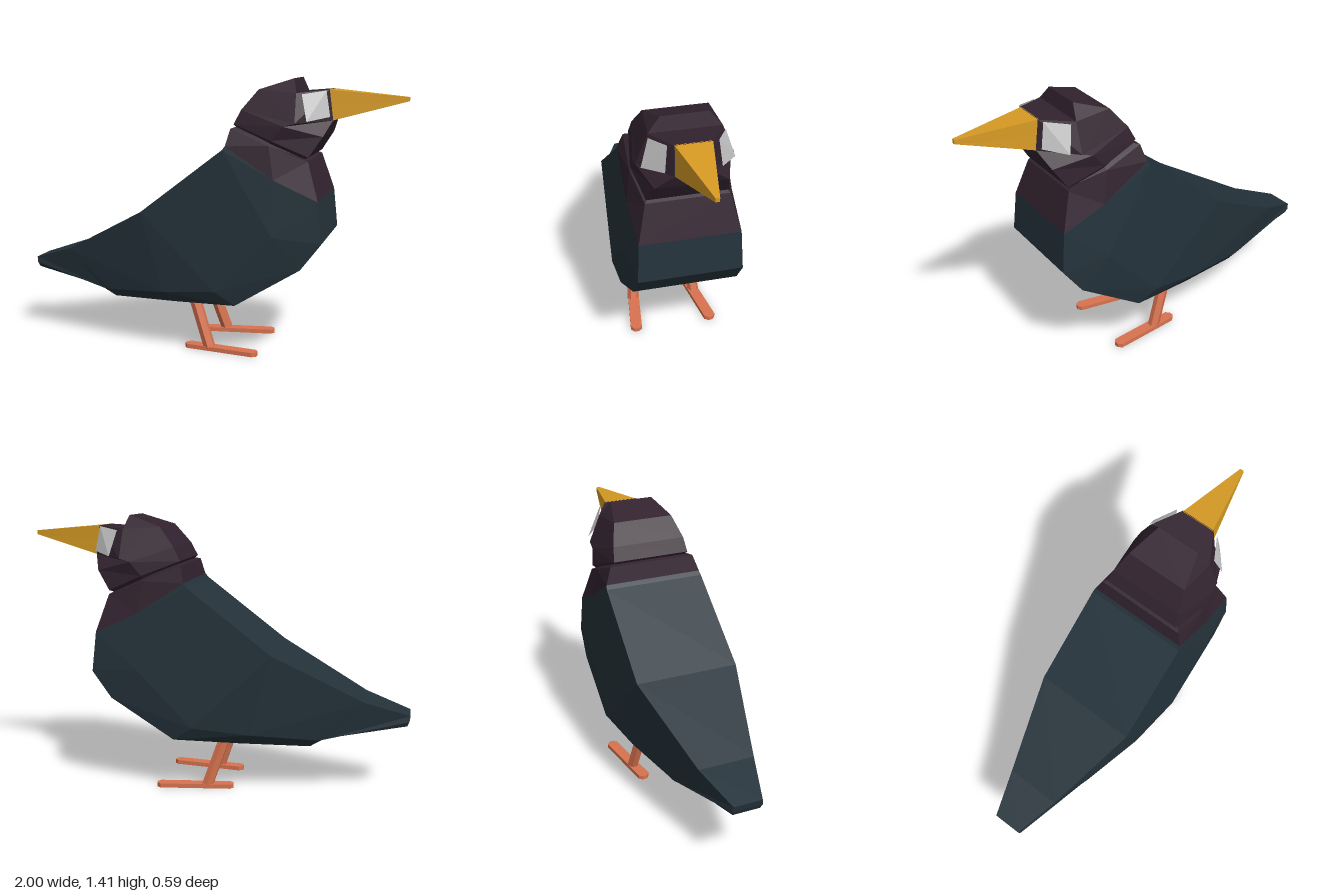
import * as THREE from 'three';

const mat = (name, color) => {
  const m = new THREE.MeshStandardMaterial({ color, flatShading: true });
  m.name = name;
  return m;
};

// Skin mirrored six-sided sections. Each section is [upper, side, lower],
// each point [x, y, halfWidth]; the ends are closed on request.
function loft(name, sections, material, capStart = true, capEnd = true) {
  const rings = sections.map((s) => {
    const half = s.map(([x, y, z]) => new THREE.Vector3(x, y, z));
    const mirrored = half.map((p) => new THREE.Vector3(p.x, p.y, -p.z)).reverse();
    return [...half, ...mirrored];
  });
  const pos = [];
  const tri = (a, b, c) => {
    const area = b.clone().sub(a).cross(c.clone().sub(a)).length();
    if (area > 1e-7) for (const p of [a, b, c]) pos.push(p.x, p.y, p.z);
  };
  for (let s = 0; s < rings.length - 1; s++) {
    const r = rings[s], q = rings[s + 1];
    for (let i = 0; i < 6; i++) {
      const j = (i + 1) % 6;
      if (i < 3) { // mirror the diagonal on the far side
        tri(r[i], r[j], q[j]);
        tri(r[i], q[j], q[i]);
      } else {
        tri(r[i], r[j], q[i]);
        tri(r[j], q[j], q[i]);
      }
    }
  }
  const cap = (r, flip) => {
    for (const [a, b, c] of [[0, 1, 4], [0, 4, 5], [1, 2, 3], [1, 3, 4]]) {
      if (flip) tri(r[a], r[c], r[b]);
      else tri(r[a], r[b], r[c]);
    }
  };
  if (capStart) cap(rings[0], true);
  if (capEnd) cap(rings[rings.length - 1], false);
  const geo = new THREE.BufferGeometry();
  geo.setAttribute('position', new THREE.Float32BufferAttribute(pos, 3));
  geo.computeVertexNormals();
  const mesh = new THREE.Mesh(geo, material);
  mesh.name = name;
  return mesh;
}

export function createModel() {
  const slate = mat('slatePlumage', 0x24323a);
  const plum = mat('plumPlumage', 0x32232f);
  const gold = mat('goldBeak', 0xd69a24);
  const coral = mat('coralLegs', 0xd8734f);
  const grey = mat('greyEye', 0xc4c4c4);
  grey.side = THREE.DoubleSide;

  const bird = new THREE.Group();
  bird.name = 'bird';

  // Body from tail tip to breast, then turning up towards the neck
  const seam = [[0.135, 1.08, 0.26], [0.38, 0.92, 0.262], [0.6, 0.82, 0.25]];
  bird.add(loft('body', [
    [[-1, 0.41, 0.075], [-0.995, 0.38, 0.08], [-0.985, 0.355, 0.07]],
    [[-0.77, 0.485, 0.145], [-0.56, 0.285, 0.165], [-0.54, 0.28, 0.14]],
    [[-0.77, 0.485, 0.145], [-0.53, 0.285, 0.175], [-0.5, 0.245, 0.15]],
    [[-0.31, 0.73, 0.27], [-0.2, 0.315, 0.26], [-0.15, 0.26, 0.22]],
    [[0.12, 1.06, 0.265], [0.09, 0.345, 0.295], [0.19, 0.275, 0.27]],
    [[0.12, 1.06, 0.265], [0.38, 0.64, 0.29], [0.52, 0.48, 0.265]],
    [[0.12, 1.06, 0.265], [0.38, 0.64, 0.29], [0.62, 0.615, 0.26]],
    seam,
  ], slate, true, false));

  // Neck with an inset rim under the head
  bird.add(loft('neck', [
    seam,
    [[0.155, 1.165, 0.23], [0.35, 1.085, 0.24], [0.54, 1.01, 0.205]],
    [[0.18, 1.17, 0.21], [0.35, 1.1, 0.22], [0.515, 1.025, 0.185]],
  ], plum, false, true));

  // Head, from its base up to the crown
  bird.add(loft('head', [
    [[0.18, 1.165, 0.19], [0.355, 1.09, 0.22], [0.515, 1.02, 0.185]],
    [[0.165, 1.185, 0.205], [0.36, 1.11, 0.237], [0.54, 1.03, 0.2]],
    [[0.2, 1.255, 0.195], [0.42, 1.18, 0.237], [0.605, 1.13, 0.175]],
    [[0.28, 1.355, 0.16], [0.475, 1.195, 0.232], [0.64, 1.205, 0.09]],
    [[0.45, 1.41, 0.115], [0.47, 1.34, 0.175], [0.62, 1.355, 0.09]],
  ], plum));

  // Beak tapering to a small square tip
  bird.add(loft('beak', [
    [[0.615, 1.355, 0.088], [0.625, 1.28, 0.088], [0.64, 1.205, 0.088]],
    [[1, 1.32, 0.01], [1, 1.31, 0.01], [1, 1.3, 0.01]],
  ], gold));

  // Foot outline: a bar with chamfered ends
  const L = 0.2, W = 0.03, c = 0.018;
  const footShape = new THREE.Shape([
    [-L, -W + c], [-L + c, -W], [L - c, -W], [L, -W + c],
    [L, W - c], [L - c, W], [-L + c, W], [-L, W - c],
  ].map(([x, y]) => new THREE.Vector2(x, y)));
  const footGeo = new THREE.ExtrudeGeometry(footShape, { depth: 0.022, bevelEnabled: false });
  footGeo.rotateX(-Math.PI / 2);

  for (const side of [1, -1]) {
    const label = side > 0 ? 'front' : 'back';

    // Eye: thin slanted panel beside the beak
    const eyeGeo = new THREE.BufferGeometry();
    const eye = [[0.605, 1.352, 0.112], [0.495, 1.335, 0.174], [0.528, 1.205, 0.215], [0.628, 1.225, 0.126]];
    eyeGeo.setAttribute('position', new THREE.Float32BufferAttribute(
      eye.flatMap(([x, y, z]) => [x + 0.004, y, side * (z + 0.006)]), 3));
    eyeGeo.setIndex(side > 0 ? [0, 1, 2, 0, 2, 3] : [0, 2, 1, 0, 3, 2]);
    eyeGeo.computeVertexNormals();
    const eyeMesh = new THREE.Mesh(eyeGeo, grey);
    eyeMesh.name = label + 'Eye';
    bird.add(eyeMesh);

    // Slanted six-sided leg
    const top = new THREE.Vector3(-0.067, 0.3, side * 0.147);
    const foot = new THREE.Vector3(0.032, 0.012, side * 0.175);
    const dir = top.clone().sub(foot);
    const leg = new THREE.Mesh(new THREE.CylinderGeometry(0.031, 0.031, dir.length(), 6), coral);
    leg.position.copy(top).add(foot).multiplyScalar(0.5);
    leg.quaternion.setFromUnitVectors(new THREE.Vector3(0, 1, 0), dir.normalize());
    leg.name = label + 'Leg';
    bird.add(leg);

    // Foot, toes turned slightly outwards
    const footMesh = new THREE.Mesh(footGeo, coral);
    footMesh.position.set(0.095, 0, side * 0.18);
    footMesh.rotation.y = -side * 0.14;
    footMesh.name = label + 'Foot';
    bird.add(footMesh);
  }
  return bird;
}
